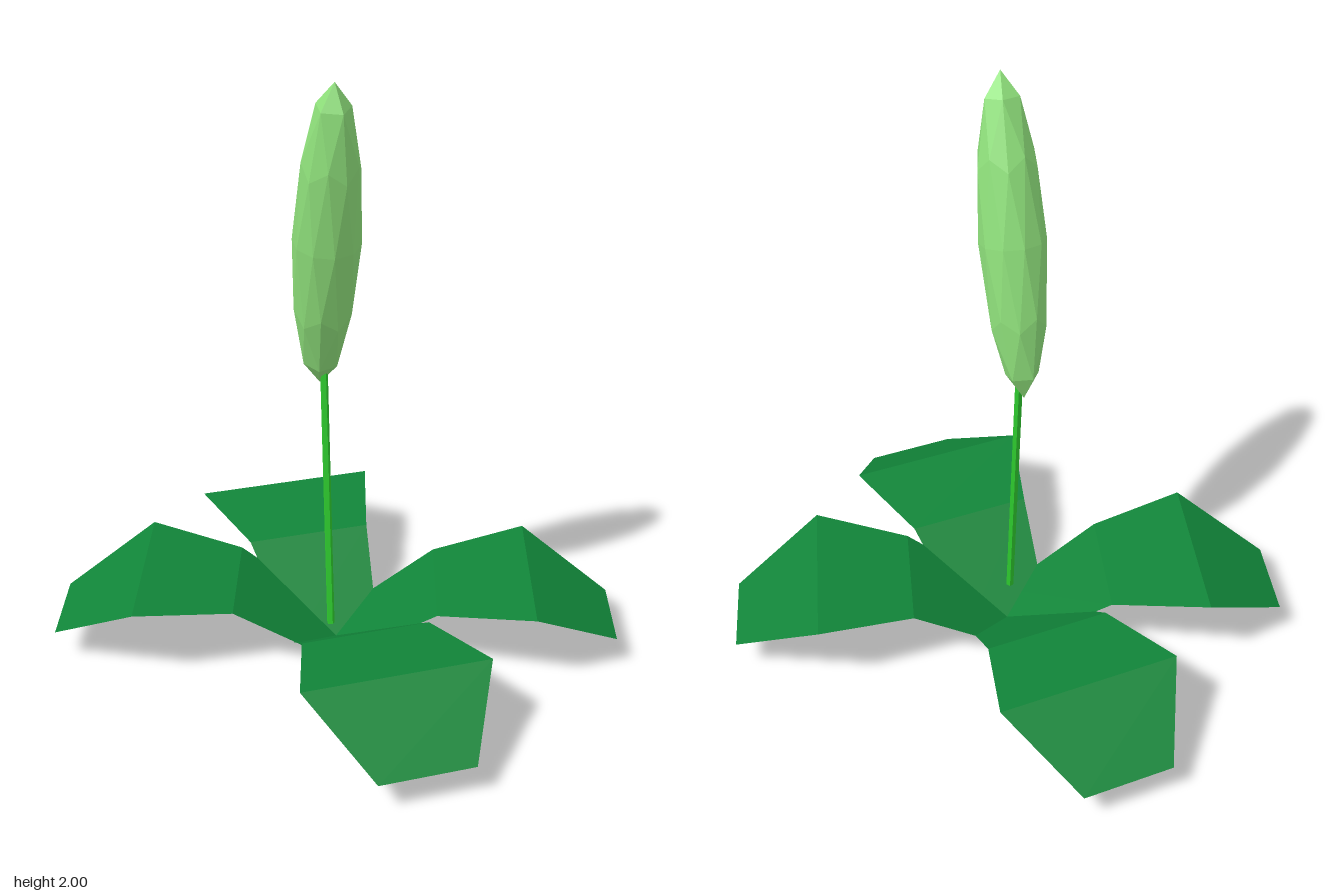
import * as THREE from 'three';

const leafMat = new THREE.MeshStandardMaterial({ color: 0x118539, flatShading: true, side: THREE.DoubleSide });
const stemMat = new THREE.MeshStandardMaterial({ color: 0x2ecc2e, flatShading: true });
const spikeMat = new THREE.MeshStandardMaterial({ color: 0x90e27c, flatShading: true });

// Leaf cross-sections: distance from centre, height, half width
const leafRows = [
  [0, 0.005, 0.15],
  [0.335, 0.225, 0.215],
  [0.653, 0.27, 0.31],
  [0.939, 0.105, 0.155],
];

function makeLeaf(angle) {
  const c = Math.cos(angle), s = Math.sin(angle);
  const pos = [], index = [];
  leafRows.forEach(([r, y, w], i) => {
    for (const side of [-1, 1]) pos.push(c * r - s * w * side, y, s * r + c * w * side);
    if (i > 0) {
      const a = (i - 1) * 2, b = i * 2;
      index.push(a, a + 1, b + 1, a, b + 1, b);
    }
  });
  const geo = new THREE.BufferGeometry();
  geo.setAttribute('position', new THREE.Float32BufferAttribute(pos, 3));
  geo.setIndex(index);
  geo.computeVertexNormals();
  return new THREE.Mesh(geo, leafMat);
}

// Place a mesh modelled along y so that it runs from one point to another
function alignBetween(mesh, from, to) {
  mesh.position.addVectors(from, to).multiplyScalar(0.5);
  const dir = new THREE.Vector3().subVectors(to, from).normalize();
  mesh.quaternion.setFromUnitVectors(new THREE.Vector3(0, 1, 0), dir);
  return mesh;
}

export function createModel() {
  const group = new THREE.Group();

  // Four folded leaves spreading from the base
  const names = ['frontLeftLeaf', 'frontRightLeaf', 'backRightLeaf', 'backLeftLeaf'];
  [33, 141, 213, 321].forEach((deg, i) => {
    const leaf = makeLeaf(THREE.MathUtils.degToRad(deg));
    leaf.name = names[i];
    group.add(leaf);
  });

  // Thin leaning stem
  const stemFrom = new THREE.Vector3(0.03, 0.1, 0.063);
  const stemTo = new THREE.Vector3(-0.026, 1.02, 0.03);
  const stemGeo = new THREE.CylinderGeometry(0.013, 0.013, stemFrom.distanceTo(stemTo), 5);
  const stem = alignBetween(new THREE.Mesh(stemGeo, stemMat), stemFrom, stemTo);
  stem.name = 'stem';
  group.add(stem);

  // Faceted flower spike: a stretched icosphere with a vertex at each tip
  const spikeFrom = new THREE.Vector3(-0.05, 0.96, 0.022);
  const spikeTo = new THREE.Vector3(0.13, 2.0, 0.16);
  const spikeGeo = new THREE.IcosahedronGeometry(1, 1);
  spikeGeo.rotateX(-Math.atan2((1 + Math.sqrt(5)) / 2, 1));
  spikeGeo.scale(0.107, spikeFrom.distanceTo(spikeTo) / 2, 0.107);
  const spike = alignBetween(new THREE.Mesh(spikeGeo, spikeMat), spikeFrom, spikeTo);
  spike.name = 'flowerSpike';
  group.add(spike);

  return group;
}
